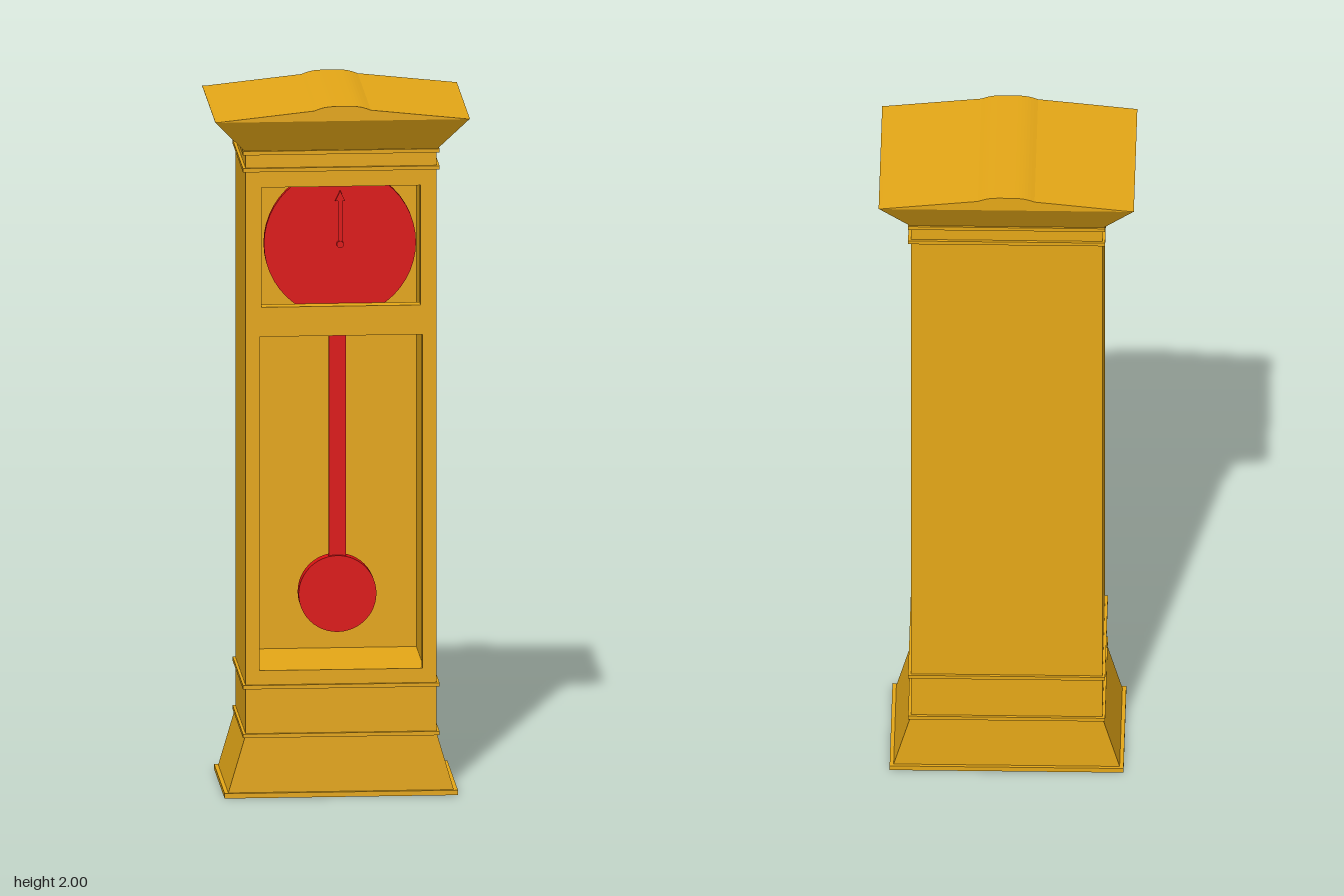
import * as THREE from 'three';

const wood = new THREE.MeshStandardMaterial({ color: 0xe6a817 });
const red = new THREE.MeshStandardMaterial({ color: 0xdd1212 });

// Body half width, half depth and the thickness of the front frame
const HX = 0.27, HZ = 0.195, FRAME = 0.04;

function rectPath(PathType, x0, y0, x1, y1) {
  const p = new PathType();
  p.moveTo(x0, y0);
  p.lineTo(x1, y0);
  p.lineTo(x1, y1);
  p.lineTo(x0, y1);
  p.closePath();
  return p;
}

// Rectangular tube standing upright from y = 0
function ring(hx, hz, ix, iz, height) {
  const shape = rectPath(THREE.Shape, -hx, -hz, hx, hz);
  shape.holes.push(rectPath(THREE.Path, -ix, -iz, ix, iz));
  const g = new THREE.ExtrudeGeometry(shape, { depth: height, bevelEnabled: false });
  return g.rotateX(-Math.PI / 2);
}

// Scale each vertex in x and z according to its height
function taper(g, rule) {
  const p = g.attributes.position;
  for (let i = 0; i < p.count; i++) {
    const [sx, sz] = rule(p.getY(i));
    p.setX(i, p.getX(i) * sx);
    p.setZ(i, p.getZ(i) * sz);
  }
  g.computeVertexNormals();
  return g;
}

export function createModel() {
  const clock = new THREE.Group();
  clock.name = 'longcaseClock';

  function add(name, geometry, material, x = 0, y = 0, z = 0) {
    const m = new THREE.Mesh(geometry, material);
    m.name = name;
    m.position.set(x, y, z);
    clock.add(m);
    return m;
  }
  // Box given by its lower and upper corners
  function block(name, a, b, material = wood) {
    const [w, h, d] = b.map((v, i) => v - a[i]);
    return add(name, new THREE.BoxGeometry(w, h, d), material,
      (a[0] + b[0]) / 2, (a[1] + b[1]) / 2, (a[2] + b[2]) / 2);
  }

  // Hollow foot, splayed to the sides, open below
  const foot = taper(ring(HX, HZ, HX - 0.015, HZ - 0.015, 0.17),
    y => [1 + (0.32 / HX - 1) * (1 - y / 0.17), 1]);
  add('splayedFoot', foot, wood, 0, 0.01, 0);
  add('plinth', ring(HX, HZ, 0.235, 0.165, 0.145), wood, 0, 0.178, 0);

  // Thin mouldings around foot, plinth and neck
  add('footMoulding', ring(0.33, 0.205, 0.305, 0.18, 0.014), wood);
  for (const y of [0.173, 0.313, 1.803, 1.852]) {
    add('moulding', ring(HX + 0.008, HZ + 0.008, HX - 0.02, HZ - 0.02, 0.011), wood, 0, y, 0);
  }

  // Front frame with the dial and pendulum openings
  const front = rectPath(THREE.Shape, -HX, 0.32, HX, 1.86);
  front.holes.push(rectPath(THREE.Path, -0.225, 1.412, 0.225, 1.757));
  front.holes.push(rectPath(THREE.Path, -0.23, 0.365, 0.23, 1.327));
  add('frontFrame', new THREE.ExtrudeGeometry(front, { depth: FRAME, bevelEnabled: false }),
    wood, 0, 0, HZ - FRAME);

  // Case behind the frame
  const zf = HZ - FRAME;
  block('leftSide', [0.235, 0.32, -HZ], [HX, 1.86, zf]);
  block('rightSide', [-HX, 0.32, -HZ], [-0.235, 1.86, zf]);
  block('backPanel', [-0.235, 0.32, -HZ], [0.235, 1.86, -0.105]);
  block('caseFloor', [-0.235, 0.32, -0.105], [0.235, 0.365, zf]);
  block('caseTop', [-0.235, 1.82, -0.105], [0.235, 1.86, zf]);

  // Cornice flaring outwards on all four sides
  const cornice = taper(new THREE.BoxGeometry(2, 0.1, 2),
    y => (y > 0 ? [0.36, 0.255] : [HX, HZ]));
  add('cornice', cornice, wood, 0, 1.909, 0);

  // Low gabled roof with a rounded ridge
  const gable = new THREE.Shape();
  gable.moveTo(-0.36, 1.958);
  gable.lineTo(0.36, 1.958);
  gable.lineTo(0.08, 1.988);
  gable.bezierCurveTo(0.05, 2.0, 0.04, 2.0, 0, 2.0);
  gable.bezierCurveTo(-0.04, 2.0, -0.05, 2.0, -0.08, 1.988);
  gable.closePath();
  add('roof', new THREE.ExtrudeGeometry(gable, { depth: 0.51, bevelEnabled: false, curveSegments: 8 }),
    wood, 0, 0, -0.255);

  // Dial
  const disc = (r, t) => new THREE.CylinderGeometry(r, r, t, 48).rotateX(Math.PI / 2);
  add('dial', disc(0.215, 0.02), red, 0, 1.585, 0.143);

  // Clock hand with arrowhead and hub
  const hand = new THREE.Shape();
  hand.moveTo(-0.006, 0);
  hand.lineTo(0.006, 0);
  hand.lineTo(0.006, 0.125);
  hand.lineTo(0.014, 0.125);
  hand.lineTo(0, 0.155);
  hand.lineTo(-0.014, 0.125);
  hand.lineTo(-0.006, 0.125);
  hand.closePath();
  add('clockHand', new THREE.ExtrudeGeometry(hand, { depth: 0.008, bevelEnabled: false }),
    red, 0, 1.583, 0.155);
  add('handHub', disc(0.01, 0.014), red, 0, 1.583, 0.159);

  // Pendulum
  block('pendulumRod', [-0.024, 0.6, 0.03], [0.024, 1.5, 0.05], red);
  add('pendulumBob', disc(0.11, 0.04), red, 0, 0.555, 0.04);

  return clock;
}
